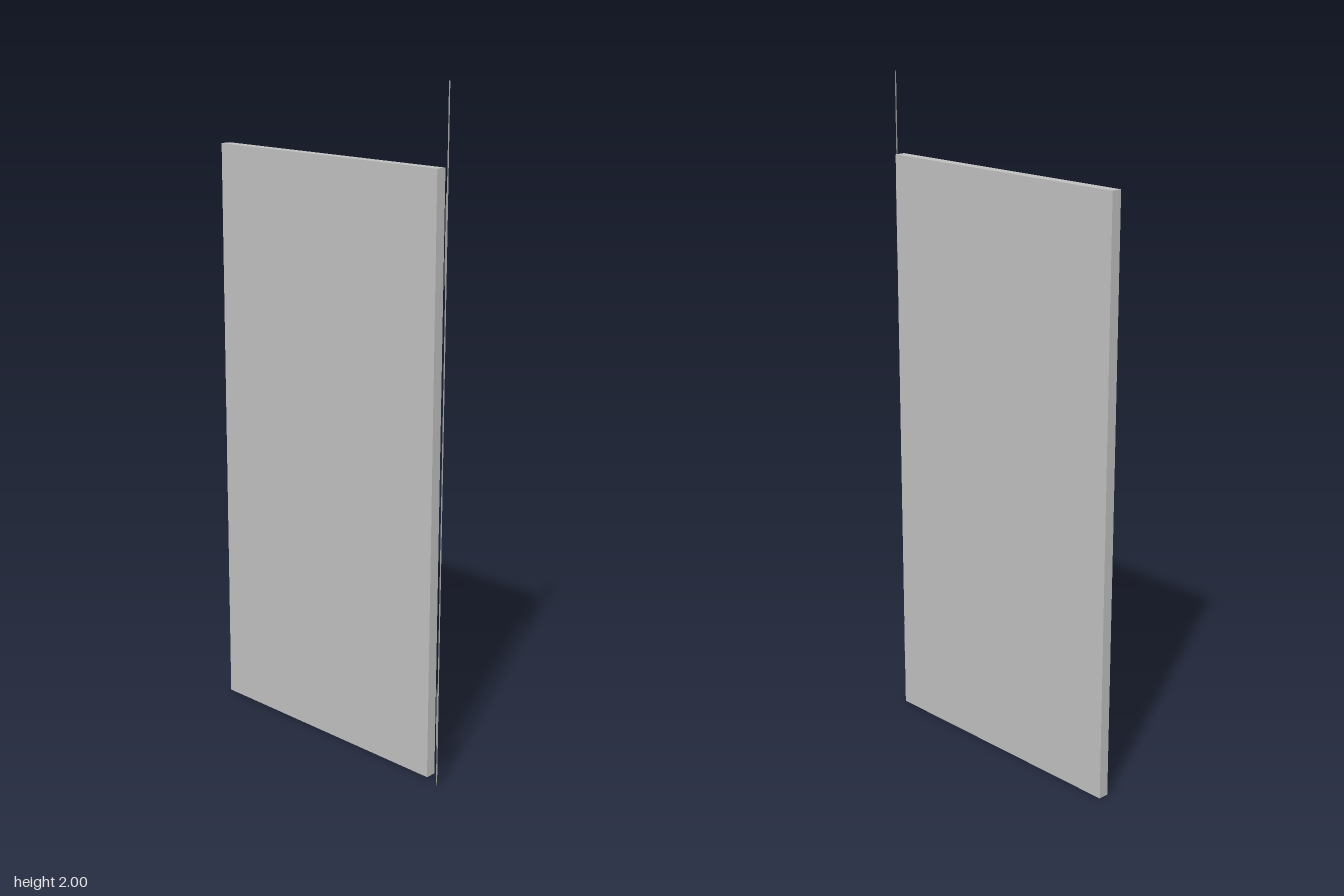
import * as THREE from 'three';

export function createModel() {
  const group = new THREE.Group();
  const grey = new THREE.MeshStandardMaterial({ color: 0xc0c0c0, side: THREE.DoubleSide });
  grey.name = 'light grey';

  // Flat door slab
  const panel = new THREE.Mesh(new THREE.BoxGeometry(0.852, 1.767, 0.0325), grey);
  panel.name = 'doorPanel';
  panel.position.set(-0.0346, 0.8835, -0.0172);
  group.add(panel);

  // Thin plate with two hinge tabs, drawn in x (outward) and y
  const outer = 0.0475, inner = -0.0355;
  const outline = [
    [0, 0.003], [outer, 0.006], [outer, 2], [0, 1.996],
    [0, 1.704], [inner, 1.704], [inner, 1.455], [0, 1.455],
    [0, 0.273], [inner, 0.273], [inner, 0.108], [0, 0.108],
  ];
  const shape = new THREE.Shape(outline.map(([x, y]) => new THREE.Vector2(x, y)));
  const strip = new THREE.Mesh(new THREE.ShapeGeometry(shape), grey);
  strip.name = 'hingeStrip';

  // Turned 45 degrees beside the slab
  strip.rotation.y = -Math.PI / 4;
  strip.position.set(0.427, 0, 0);
  group.add(strip);

  return group;
}
